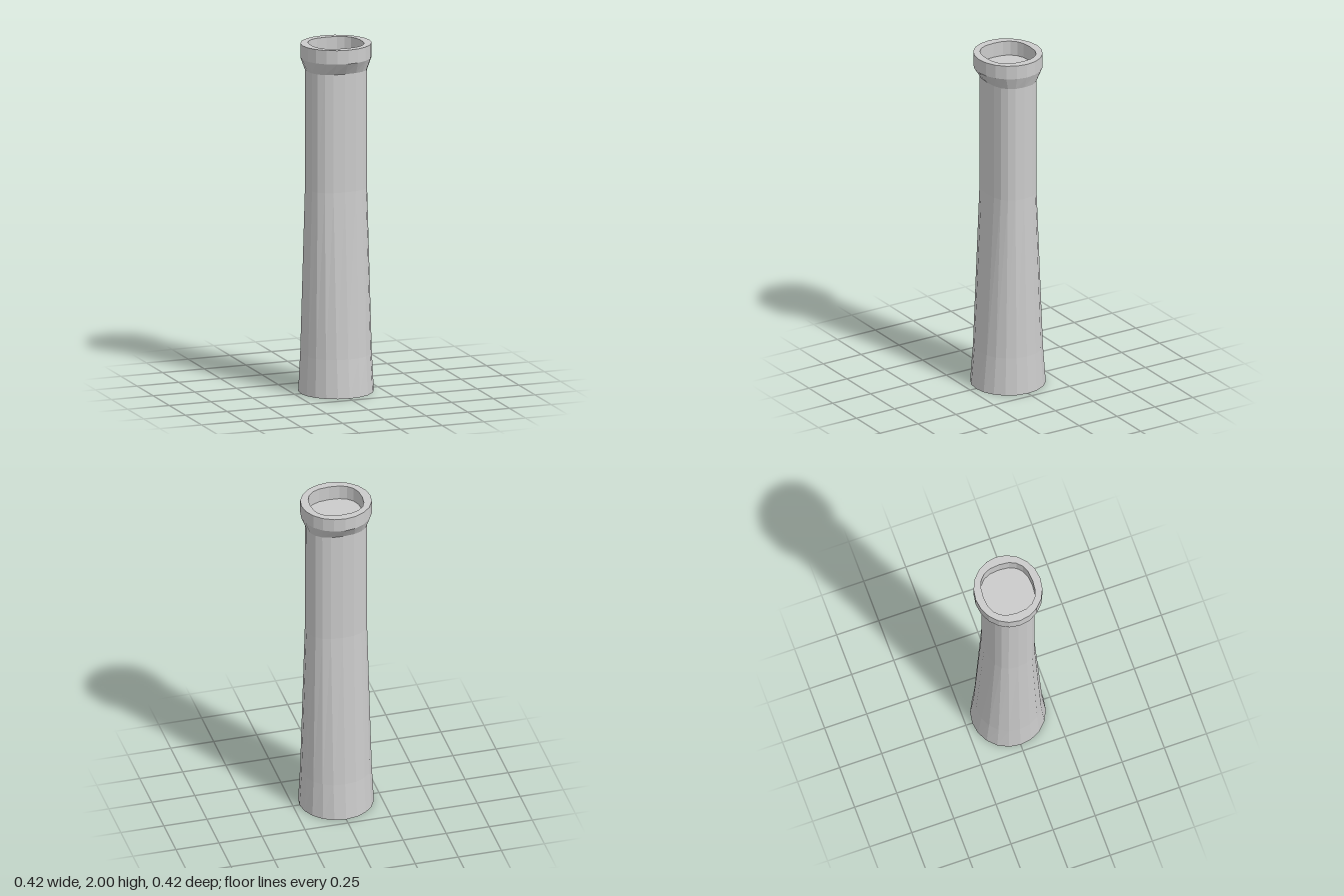
import * as THREE from 'three';

const SIDES = 20;

// One cross-section: n = 2 is an ellipse, larger n is flatter on front and back.
function ring([y, rx, rz, n]) {
  const points = [];
  for (let i = 0; i < SIDES; i++) {
    const a = (i / SIDES) * Math.PI * 2;
    const bend = (v) => (Math.abs(v) < 1e-6 ? 0 : Math.sign(v) * Math.abs(v) ** (2 / n));
    points.push([rx * bend(Math.sin(a)), y, rz * bend(Math.cos(a))]);
  }
  return points;
}

// Skin a stack of cross-sections, optionally closing the first or last one.
function loft(name, sections, material, { capStart = false, capEnd = false } = {}) {
  const positions = [];
  const indices = [];
  sections.forEach((s) => ring(s).forEach((p) => positions.push(...p)));
  for (let r = 0; r < sections.length - 1; r++) {
    for (let i = 0; i < SIDES; i++) {
      const j = (i + 1) % SIDES;
      const a = r * SIDES + i, b = r * SIDES + j;
      indices.push(a, b, b + SIDES, a, b + SIDES, a + SIDES);
    }
  }
  const cap = (r, flip) => {
    const centre = positions.length / 3;
    positions.push(0, sections[r][0], 0);
    for (let i = 0; i < SIDES; i++) {
      const a = r * SIDES + i, b = r * SIDES + ((i + 1) % SIDES);
      indices.push(centre, flip ? b : a, flip ? a : b);
    }
  };
  if (capStart) cap(0, true);
  if (capEnd) cap(sections.length - 1, false);
  const geometry = new THREE.BufferGeometry();
  geometry.setAttribute('position', new THREE.Float32BufferAttribute(positions, 3));
  geometry.setIndex(indices);
  geometry.computeVertexNormals();
  const mesh = new THREE.Mesh(geometry, material);
  mesh.name = name;
  return mesh;
}

export function createModel() {
  const group = new THREE.Group();
  group.name = 'column';
  const material = new THREE.MeshStandardMaterial({ color: 0xcccccc, flatShading: true });

  // Sections are [height, half width, half depth, squareness]
  const foot = [0, 0.212, 0.212, 2];
  const neck = [1.85, 0.173, 0.14, 2.5];
  const rim = [2, 0.201, 0.192, 2];
  const hole = [2, 0.152, 0.146, 2.5];

  // Flared shaft, round at the foot and flattened front and back above
  group.add(loft('shaft', [
    foot,
    [0.22, 0.2, 0.19, 2.1],
    [1.17, 0.172, 0.14, 2.5],
    neck,
  ], material, { capStart: true }));

  // Sloped collar, upright band, flat rim and shallow recess with a floor
  group.add(loft('collar', [neck, [1.92, 0.201, 0.192, 2], rim], material));
  group.add(loft('rim', [rim, hole], material));
  group.add(loft('recess', [hole, [1.915, 0.152, 0.146, 2.5]], material, { capEnd: true }));

  return group;
}
